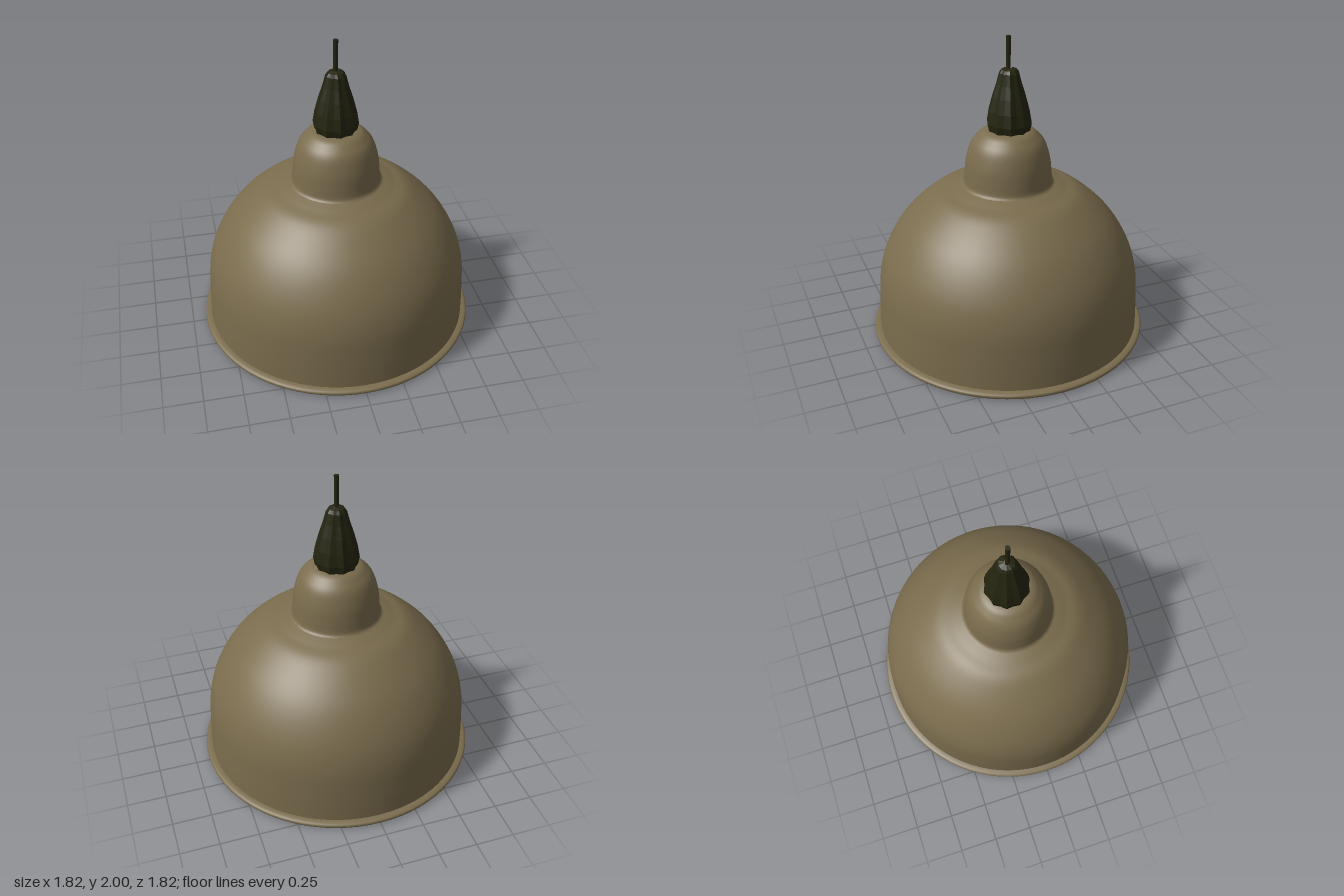
import * as THREE from 'three';

const vec = ([x, y]) => new THREE.Vector2(x, y);

// Smooth surface of revolution through a few profile points
function turned(points, samples, segments, material, name) {
  const profile = new THREE.SplineCurve(points.map(vec)).getPoints(samples);
  profile.forEach((p) => { p.x = Math.max(p.x, 0); });
  const mesh = new THREE.Mesh(new THREE.LatheGeometry(profile, segments), material);
  mesh.name = name;
  return mesh;
}

export function createModel() {
  const model = new THREE.Group();
  model.name = 'pendantLamp';
  const enamel = new THREE.MeshStandardMaterial({ color: 0x7a6c4d });
  enamel.name = 'olive enamel';
  const rubber = new THREE.MeshStandardMaterial({ color: 0x23240f });
  rubber.name = 'dark rubber';

  // Bell shade: outer skin and an inner skin facing inwards
  const dome = [[0.87, 0.04], [0.865, 0.23], [0.848, 0.44], [0.79, 0.62], [0.67, 0.805],
    [0.49, 0.965], [0.37, 1.015], [0.3, 1.04]];
  model.add(turned(dome, 40, 80, enamel, 'shadeOuter'));
  const lining = dome.map(([r, y]) => [r - 0.02, y - 0.02]).reverse();
  model.add(turned(lining, 40, 80, enamel, 'shadeInner'));

  // Neck cap over the socket, hollow inside
  const neck = [[0.3, 1.04], [0.285, 1.06], [0.278, 1.13], [0.268, 1.21], [0.24, 1.305],
    [0.2, 1.36], [0.14, 1.4], [0, 1.41]];
  model.add(turned(neck, 36, 64, enamel, 'neckOuter'));
  const neckLining = neck.map(([r, y]) => [Math.max(r - 0.02, 0), y - 0.02]).reverse();
  model.add(turned(neckLining, 36, 64, enamel, 'neckInner'));

  // Rolled lip around the opening
  const lip = [[0.85, 0.02], [0.865, 0.006], [0.895, 0.004], [0.91, 0.018], [0.908, 0.034],
    [0.89, 0.042], [0.868, 0.045]];
  model.add(turned(lip, 18, 80, enamel, 'rolledLip'));

  // Fluted cable grip: every second corner is pulled in to form grooves
  const gripProfile = [[0, 1.395], [0.135, 1.4], [0.145, 1.45], [0.132, 1.53], [0.108, 1.62],
    [0.082, 1.7], [0.064, 1.77], [0.05, 1.79], [0.018, 1.8]];
  const gripGeo = new THREE.LatheGeometry(gripProfile.map(vec), 20).toNonIndexed();
  const pos = gripGeo.attributes.position;
  for (let i = 0; i < pos.count; i++) {
    const x = pos.getX(i), z = pos.getZ(i);
    const corner = Math.round((Math.atan2(x, z) / (Math.PI * 2)) * 20);
    const k = corner % 2 === 0 ? 1 : 0.92;
    pos.setX(i, x * k);
    pos.setZ(i, z * k);
  }
  gripGeo.computeVertexNormals();
  const grip = new THREE.Mesh(gripGeo, rubber);
  grip.name = 'cableGrip';
  grip.position.z = -0.008;
  model.add(grip);

  // Cable rising out of the grip
  const cable = new THREE.Mesh(new THREE.CylinderGeometry(0.016, 0.014, 0.22, 10), rubber);
  cable.name = 'cable';
  cable.position.set(-0.002, 1.89, -0.003);
  model.add(cable);

  return model;
}
